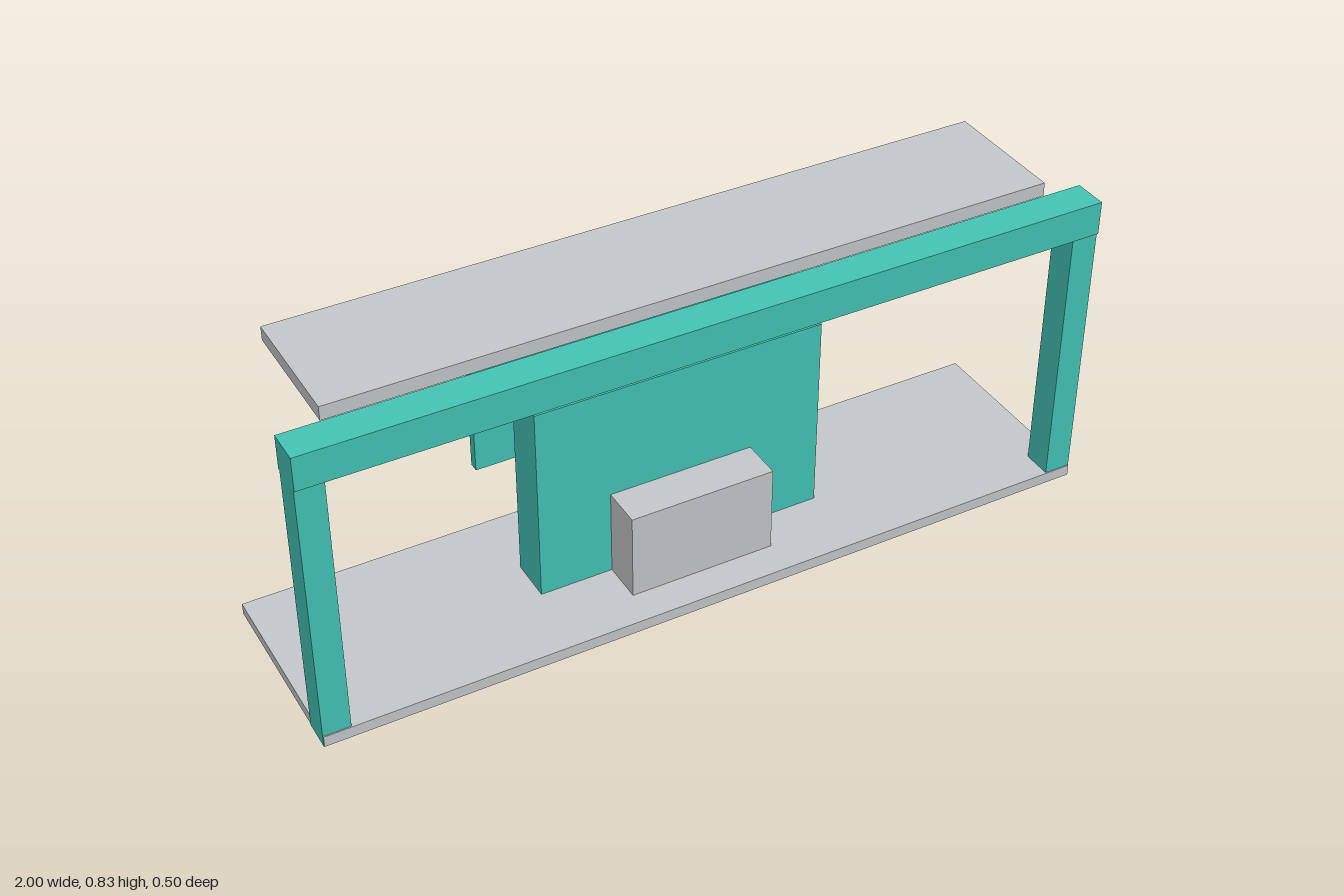
import * as THREE from 'three';

export function createModel() {
  const model = new THREE.Group();
  model.name = 'exhibitionBooth';

  const material = (name, color) => {
    const m = new THREE.MeshStandardMaterial({ color });
    m.name = name;
    return m;
  };
  const teal = material('teal', 0x43c4b5);
  const grey = material('light grey', 0xc4c7ca);
  const slate = material('slate blue', 0x4f6b80);

  // Box given by its lower and upper limits on each axis
  const box = (name, mat, [x0, x1], [y0, y1], [z0, z1]) => {
    const mesh = new THREE.Mesh(new THREE.BoxGeometry(x1 - x0, y1 - y0, z1 - z0), mat);
    mesh.position.set((x0 + x1) / 2, (y0 + y1) / 2, (z0 + z1) / 2);
    mesh.name = name;
    model.add(mesh);
  };

  // Floor slab, a hair inside the posts so their outer faces and feet show
  box('floor', grey, [-0.999, 0.999], [0.001, 0.03], [-0.25, 0.25]);

  // Front portal: two posts and a slightly deeper beam
  box('rightPost', teal, [-1, -0.932], [0, 0.716], [0.171, 0.247]);
  box('leftPost', teal, [0.932, 1], [0, 0.716], [0.171, 0.247]);
  box('beam', teal, [-1, 1], [0.716, 0.802], [0.165, 0.252]);

  // Canopy behind the beam
  box('canopy', grey, [-0.9, 0.9], [0.8, 0.835], [-0.164, 0.161]);

  // Central wall, passing through the floor, with a counter before it
  box('centralWall', teal, [-0.373, 0.373], [0, 0.55], [-0.058, 0.055]);
  box('counter', grey, [-0.187, 0.187], [0.03, 0.257], [0.055, 0.161]);

  // Rear display: backing frame and screen
  box('displayFrame', teal, [-0.425, 0.425], [0.265, 0.663], [-0.193, -0.168]);
  box('displayScreen', slate, [-0.41, 0.41], [0.285, 0.643], [-0.208, -0.193]);

  return model;
}
